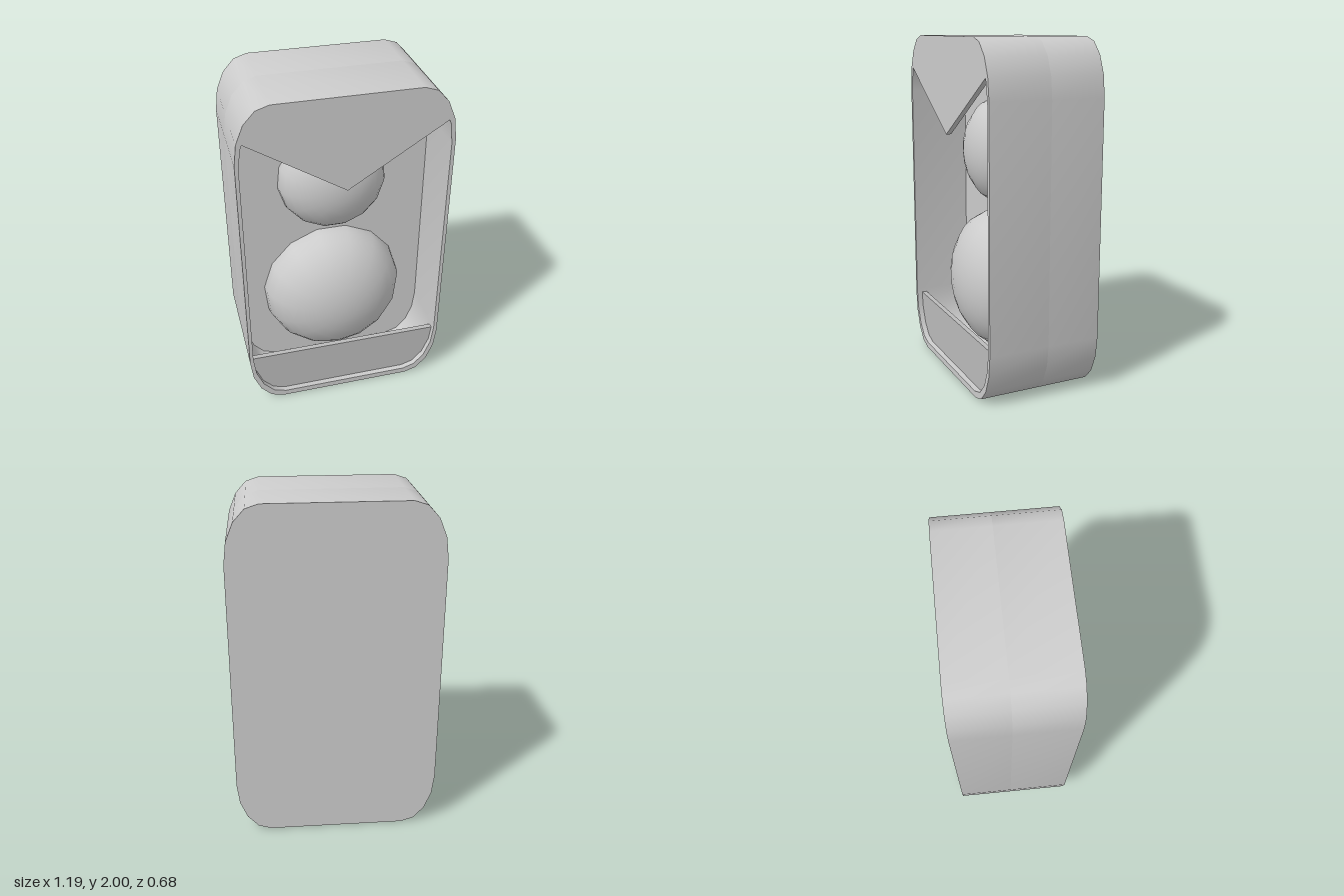
import * as THREE from 'three';
import { toCreasedNormals } from 'three/addons/utils/BufferGeometryUtils.js';

const FRONT = 0.3375, BACK = -0.3375, FLOOR = -0.02;

// Rounded upright outline, counter-clockwise from the lower right corner, scaled about its centre
function outline(scale) {
  const pts = [];
  for (const [sx, sy, start] of [[1, -1, 3], [1, 1, 0], [-1, 1, 1], [-1, -1, 2]]) {
    for (let i = 0; i <= 4; i++) {
      const a = (start + i / 4) * Math.PI / 2;
      pts.push(new THREE.Vector2(
        scale * (sx * 0.4 + 0.195 * Math.cos(a)),
        1 + scale * (sy * 0.68 + 0.32 * Math.sin(a))));
    }
  }
  return pts;
}

// Solid slab between two depths, with an optional hole
function slab(name, pts, z0, z1, material, hole) {
  const shape = new THREE.Shape(pts);
  if (hole) shape.holes.push(new THREE.Path(hole));
  const geo = new THREE.ExtrudeGeometry(shape, { depth: z1 - z0, bevelEnabled: false });
  geo.translate(0, 0, z0);
  const mesh = new THREE.Mesh(toCreasedNormals(geo, 0.6), material);
  mesh.name = name;
  return mesh;
}

// Flattened half ball lying on the cavity floor
function dome(name, y, radius, depth, turn, material) {
  const geo = new THREE.SphereGeometry(1, 15, 8, 0, Math.PI * 2, 0, Math.PI / 2);
  geo.rotateX(Math.PI / 2);
  geo.rotateZ(turn);
  geo.scale(radius, radius, depth);
  const mesh = new THREE.Mesh(geo, material);
  mesh.name = name;
  mesh.position.set(0, y, FLOOR);
  return mesh;
}

export function createModel() {
  const group = new THREE.Group();
  const grey = new THREE.MeshStandardMaterial({ color: 0xcccccc });
  grey.name = 'light grey';
  const darker = new THREE.MeshStandardMaterial({ color: 0xbbbbbb });
  darker.name = 'medium grey';

  const outer = outline(1), inner = outline(0.965);

  // Case: thick back and thin surrounding wall
  group.add(slab('caseBack', outer, BACK, FLOOR, grey));
  group.add(slab('caseRim', outer, FLOOR, FRONT, grey, inner));

  // Upper cover with a pointed lower edge
  const top = [
    new THREE.Vector2(0, 1.45),
    new THREE.Vector2(0.553, 1.8),
    ...inner.filter(p => p.y > 1.81),
    new THREE.Vector2(-0.553, 1.8),
  ];
  group.add(slab('pointedCover', top, FRONT - 0.03, FRONT, grey));

  // Lower cover, set slightly back inside the rim
  const low = inner.filter(p => p.y < 0.31);
  const left = low.filter(p => p.x < 0), right = low.filter(p => p.x > 0);
  group.add(slab('lowerCover', [
    ...left, ...right,
    new THREE.Vector2(0.573, 0.32), new THREE.Vector2(-0.573, 0.32),
  ], 0.275, 0.305, darker));

  // Two domes
  group.add(dome('upperDome', 1.337, 0.32, 0.22, -Math.PI / 2, grey));
  group.add(dome('lowerDome', 0.55, 0.43, 0.3, Math.PI / 2, grey));
  return group;
}
